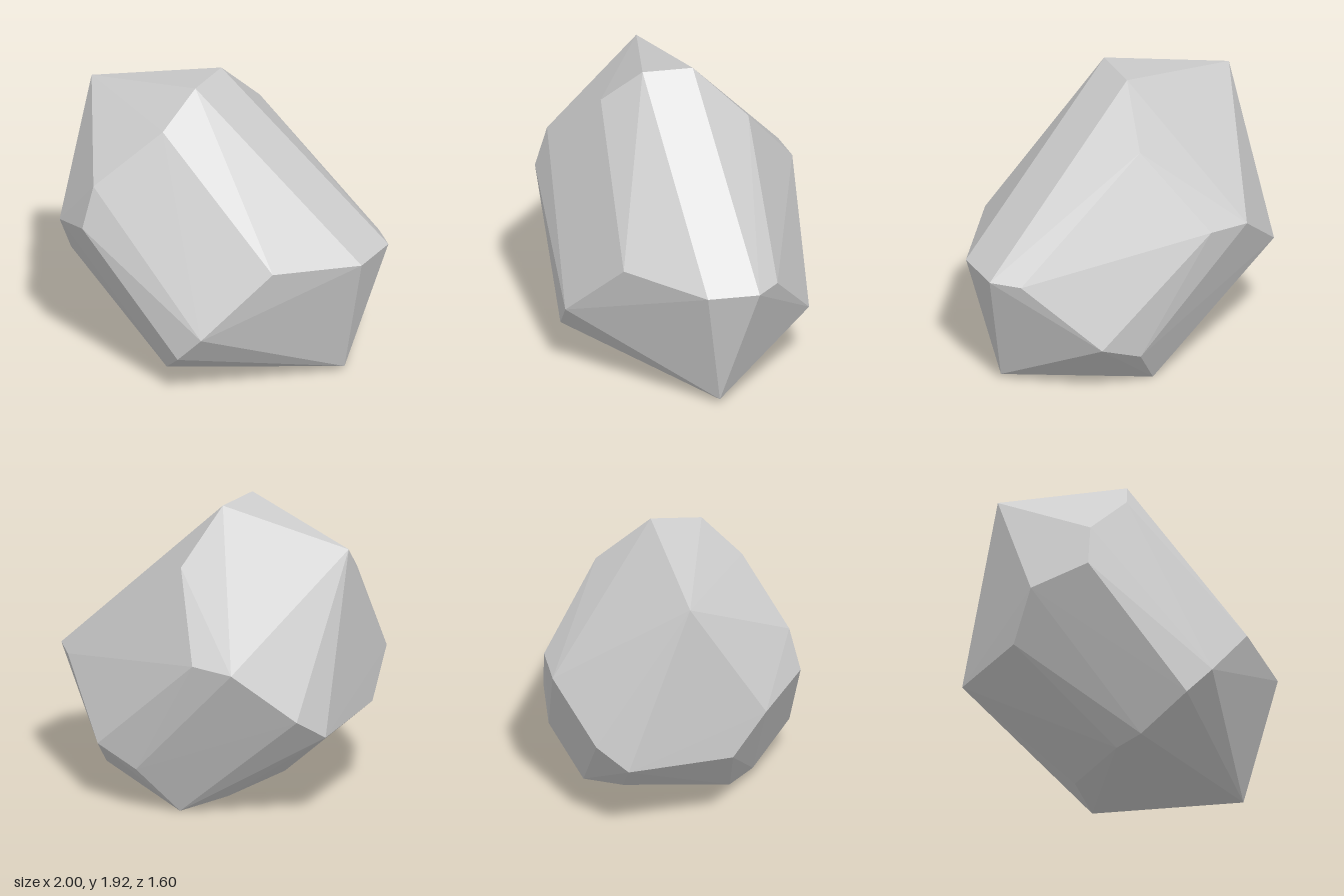
import * as THREE from 'three';
import { ConvexGeometry } from 'three/addons/geometries/ConvexGeometry.js';

// Faceted crystal: a twelve-sided prism leaning along (1, -1, 0), pointed at both ends.
const upperTip = [-0.9, 1.74, 0.09];
const lowerTip = [0.81, 0.03, -0.13];

// Each row is one long edge of the prism: its upper corner, then its lower corner.
const prismEdges = [
  [[-0.08, 1.92, 0.2], [1, 0.85, -0.02]],
  [[-0.17, 1.7, 0.45], [0.63, 0.9, 0.45]],
  [[-0.51, 1.35, 0.73], [0.29, 0.48, 0.76]],
  [[-0.55, 1.07, 0.8], [0.12, 0.3, 0.76]],
  [[-0.85, 0.95, 0.57], [-0.1, 0.08, 0.52]],
  [[-0.89, 0.645, 0.36], [-0.21, 0.03, 0.37]],
  [[-1, 0.62, -0.3], [-0.25, 0.07, -0.3]],
  [[-0.92, 0.76, -0.5], [-0.05, 0, -0.54]],
  [[-0.6, 1.08, -0.76], [0.14, 0.3, -0.75]],
  [[-0.33, 1.1, -0.8], [0.42, 0.42, -0.77]],
  [[0, 1.59, -0.46], [0.85, 0.845, -0.49]],
  [[-0.08, 1.92, -0.12], [1, 0.85, -0.35]],
];

export function createModel() {
  const group = new THREE.Group();
  group.name = 'crystalRock';

  const stone = new THREE.MeshStandardMaterial({ color: 0xcccccc });
  stone.name = 'pale grey stone';

  // The hull of the corners gives flat facets with sharp edges
  const corners = [upperTip, lowerTip, ...prismEdges.flat()].map((p) => new THREE.Vector3(...p));
  const crystal = new THREE.Mesh(new ConvexGeometry(corners), stone);
  crystal.name = 'crystal';
  group.add(crystal);

  return group;
}
